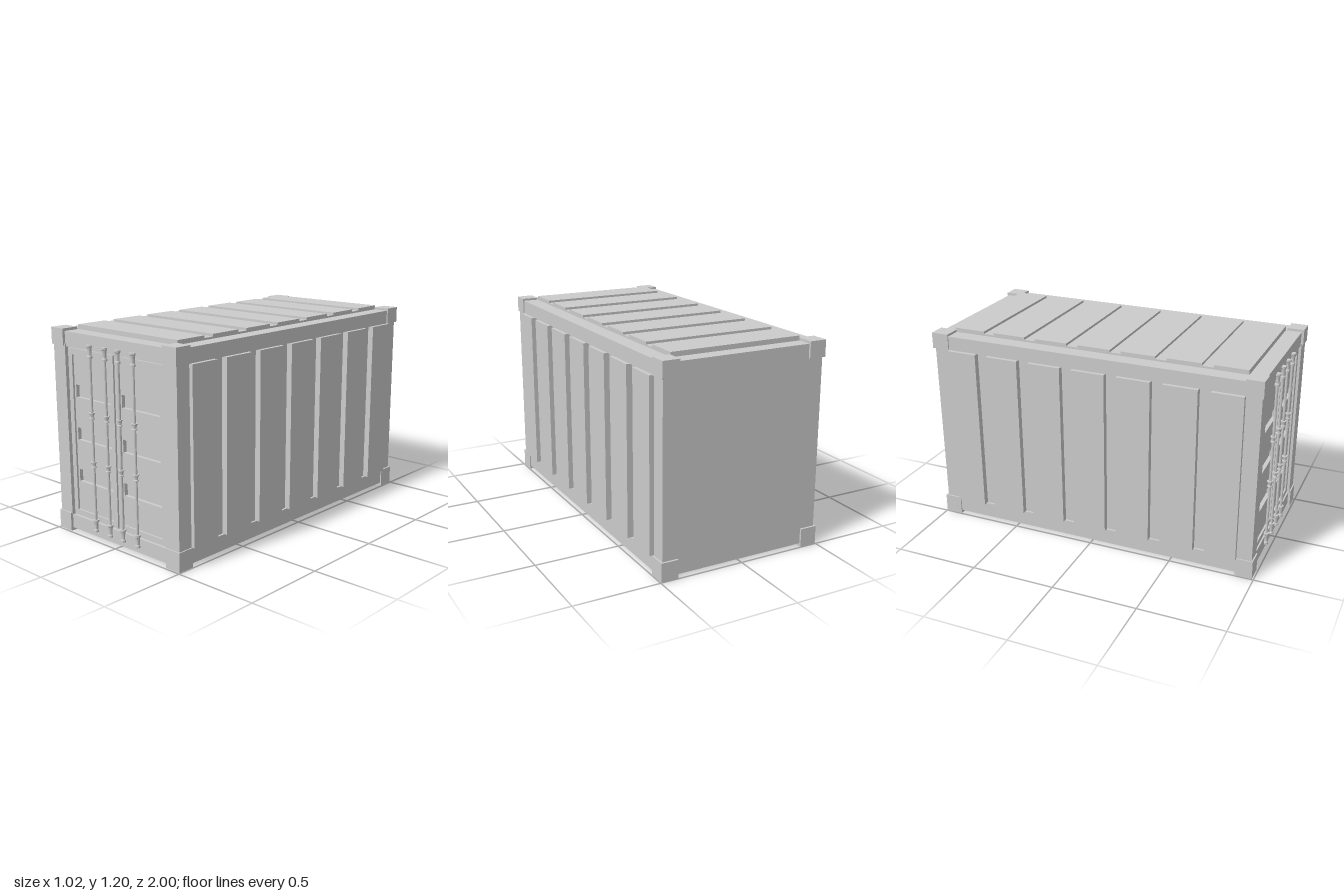
import * as THREE from 'three';

const grey = new THREE.MeshStandardMaterial({ color: 0xcccccc, flatShading: true });

export function createModel() {
  const model = new THREE.Group();
  model.name = 'shippingContainer';

  const add = (name, geometry, parent = model) => {
    const mesh = new THREE.Mesh(geometry, grey);
    mesh.name = name;
    parent.add(mesh);
    return mesh;
  };
  // Box given by its lower and upper limits on each axis
  const box = (name, x0, x1, y0, y1, z0, z1, parent) => {
    const g = new THREE.BoxGeometry(x1 - x0, y1 - y0, z1 - z0);
    g.translate((x0 + x1) / 2, (y0 + y1) / 2, (z0 + z1) / 2);
    return add(name, g, parent);
  };
  const rectangle = (T, x0, x1, y0, y1) => new T([
    new THREE.Vector2(x0, y0), new THREE.Vector2(x1, y0),
    new THREE.Vector2(x1, y1), new THREE.Vector2(x0, y1),
  ]);
  // Upright plate with rectangular holes
  const plate = (name, outer, holes, z0, z1, parent) => {
    const shape = rectangle(THREE.Shape, ...outer);
    holes.forEach((h) => shape.holes.push(rectangle(THREE.Path, ...h)));
    const g = new THREE.ExtrudeGeometry(shape, { depth: z1 - z0, bevelEnabled: false });
    return add(name, g.translate(0, 0, z0), parent);
  };

  // Closed body, end wall and roof sheet
  box('body', -0.475, 0.475, 0.025, 1.165, -0.98, 0.935);
  box('endWall', -0.485, 0.485, 0.02, 1.17, -0.988, -0.895);
  box('roofSheet', -0.395, 0.395, 1.16, 1.183, -0.9, 0.88);

  // Front beams
  box('frontSill', -0.395, 0.395, 0.018, 0.1, 0.88, 0.975);
  box('frontHeader', -0.395, 0.395, 1.085, 1.17, 0.88, 0.975);

  for (const s of [-1, 1]) {
    const sided = (name, x0, x1, ...rest) =>
      box(name, Math.min(s * x0, s * x1), Math.max(s * x0, s * x1), ...rest);

    // Long rails and front post
    sided('topRail', 0.395, 0.488, 1.09, 1.172, -0.895, 0.895);
    sided('bottomRail', 0.395, 0.488, 0.02, 0.11, -0.895, 0.895);
    sided('frontPost', 0.39, 0.488, 0.1, 1.1, 0.89, 0.982);

    // Corner castings
    for (const [z0, z1] of [[-1, -0.895], [0.89, 0.99]]) {
      sided('bottomCorner', 0.395, 0.495, 0, 0.11, z0, z1);
      sided('topCorner', 0.395, 0.495, 1.09, 1.185, z0, z1);
    }

    // Corrugated side wall
    for (let i = -3; i <= 3; i++) {
      const z = i * 0.27;
      sided('sidePanel', 0.46, 0.51, 0.11, 1.09,
        Math.max(z - 0.1, -0.893), Math.min(z + 0.1, 0.893));
    }
  }

  // Raised roof panels
  for (let i = 0; i < 7; i++) {
    const z = -0.81 + i * 0.266;
    box('roofPanel', -0.395, 0.395, 1.17, 1.197,
      Math.max(z - 0.1, -0.9), Math.min(z + 0.1, 0.88));
  }

  // Doors: outer frame, sunken panel and three pockets each
  for (const s of [-1, 1]) {
    const door = new THREE.Group();
    door.name = s > 0 ? 'leftDoor' : 'rightDoor';
    model.add(door);
    const span = (a, b) => (s > 0 ? [a, b] : [-b, -a]);
    plate('doorFrame', [...span(0.006, 0.382), 0.106, 1.08],
      [[...span(0.035, 0.35), 0.14, 1.045]], 0.935, 0.968, door);
    const pockets = [0.31, 0.555, 0.802].map((y) => [...span(0.045, 0.337), y, y + 0.072]);
    plate('doorPanel', [...span(0.03, 0.355), 0.135, 1.05], pockets, 0.935, 0.957, door);
  }

  // Locking rods with spool-shaped brackets
  const spool = (y, h) => new THREE.LatheGeometry([
    [0, 0], [0.015, 0], [0.015, 0.15], [0.011, 0.25], [0.012, 0.6],
    [0.014, 0.8], [0.018, 0.85], [0.018, 1], [0, 1],
  ].map(([r, t]) => new THREE.Vector2(r, t * h)), 10).translate(0, y, 0);
  for (const x of [-0.178, -0.056, 0.05, 0.168]) {
    const rod = new THREE.Group();
    rod.name = 'lockingRod';
    rod.position.set(x, 0, 0.982);
    model.add(rod);
    add('bar', new THREE.CylinderGeometry(0.008, 0.008, 1.0, 10).translate(0, 0.585, 0), rod);
    for (const [y, h] of [[0.05, 0.073], [0.428, 0.036], [0.708, 0.036], [1.045, 0.073]]) {
      add('bracket', spool(y, h), rod);
    }
  }

  return model;
}
